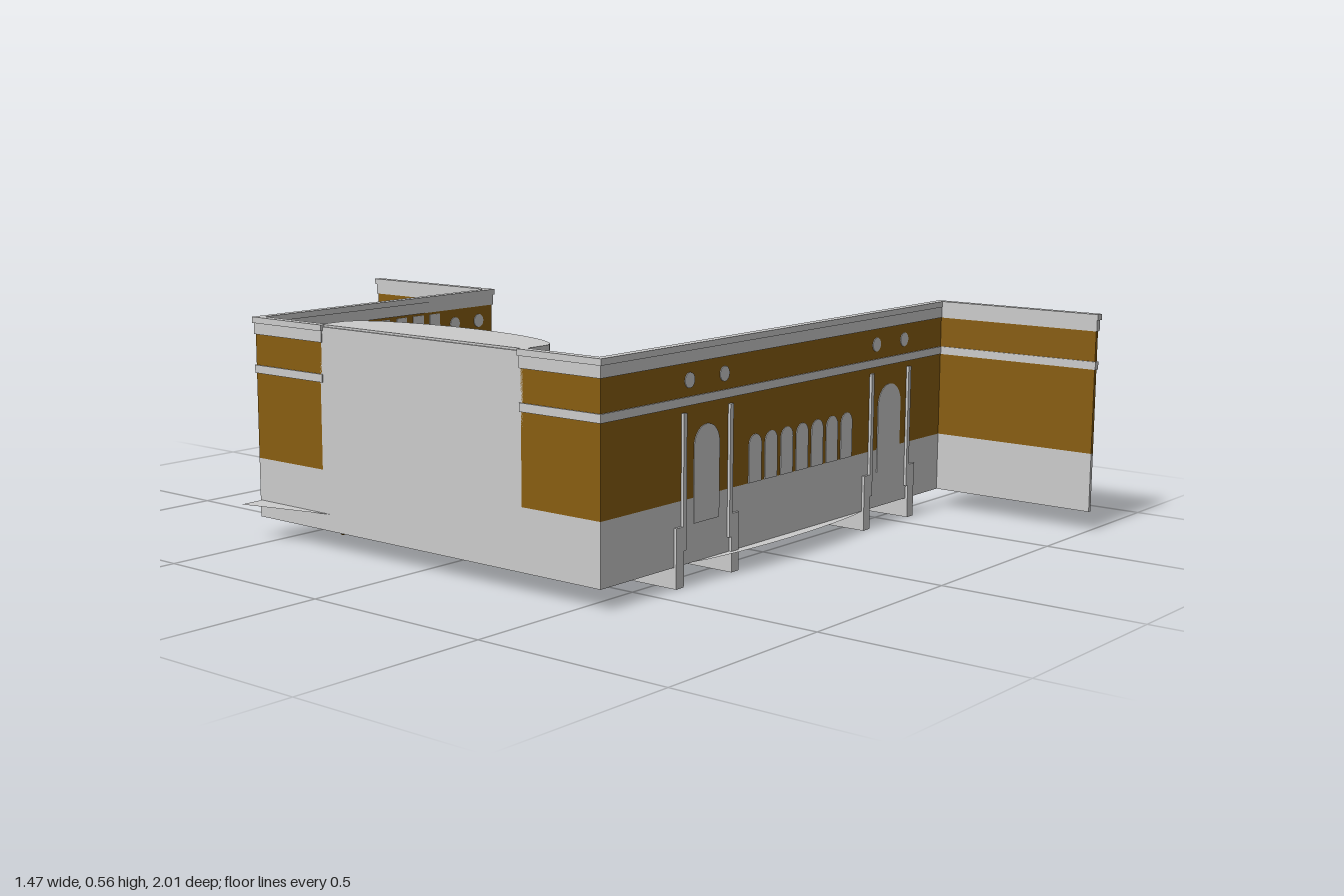
import * as THREE from 'three';

const GREY = new THREE.MeshStandardMaterial({ color: 0xcccccc });
const BROWN = new THREE.MeshStandardMaterial({ color: 0x885d10 });
const SHEET = new THREE.MeshStandardMaterial({ color: 0xcccccc, side: THREE.DoubleSide });

export function createModel() {
  const root = new THREE.Group();
  root.name = 'courtyard';
  const add = (name, geo, mat = GREY, parent = root) => {
    const m = new THREE.Mesh(geo, mat);
    m.name = name;
    parent.add(m);
    return m;
  };
  const group = (name) => {
    const g = new THREE.Group();
    g.name = name;
    root.add(g);
    return g;
  };
  // box given by its limits
  const box = (name, x0, x1, y0, y1, z0, z1, mat, parent) =>
    add(name, new THREE.BoxGeometry(x1 - x0, y1 - y0, z1 - z0)
      .translate((x0 + x1) / 2, (y0 + y1) / 2, (z0 + z1) / 2), mat, parent);
  // plan outline of [x, z] points raised from y0 to y1
  const planShape = (pts) => new THREE.Shape(pts.map(([x, z]) => new THREE.Vector2(x, -z)));
  const plan = (name, pts, y0, y1, mat, parent) =>
    add(name, new THREE.ExtrudeGeometry(planShape(pts), { depth: y1 - y0, bevelEnabled: false })
      .rotateX(-Math.PI / 2).translate(0, y0, 0), mat, parent);

  // banded walls: plinth, masonry, string course, masonry, cornice
  const bands = [
    ['plinth', 0.05, 0.2, 0, GREY], ['lowerMasonry', 0.2, 0.415, 0, BROWN],
    ['stringCourse', 0.415, 0.435, 0.003, GREY], ['upperMasonry', 0.435, 0.512, 0, BROWN],
    ['cornice', 0.512, 0.54, 0.003, GREY], ['coping', 0.54, 0.555, 0.006, GREY],
  ];
  const T = 0.005;
  const wall = (name, x0, x1, z0, z1) => {
    const g = group(name);
    for (const [n, y0, y1, p, mat] of bands) {
      const e = T + p;
      box(n, x0 - e, x1 + e, y0, y1, z0 - e, z1 + e, mat, g);
    }
    return g;
  };
  const FZ = 0.55, BZ = -0.56, LX = -0.67;
  const front = wall('frontWall', LX, 0.72, FZ, FZ);
  wall('frontWing', 0.72, 0.72, FZ, 0.995);
  const back = wall('backWall', LX, 0.156, BZ, BZ);
  wall('backWing', 0.156, 0.156, -0.995, BZ);
  const side = wall('sideWallFront', LX, LX, 0.33, FZ);
  wall('sideWallBack', LX, LX, BZ, -0.33);
  box('bayBacking', LX - T, LX + T, 0.05, 0.55, -0.33, 0.33, GREY);

  // arched and round panels
  const arch = (name, cx, w, y0, y1, z0, depth) => {
    const r = w / 2, s = new THREE.Shape();
    s.moveTo(cx - r, y0);
    s.lineTo(cx + r, y0);
    s.absarc(cx, y1 - r, r, 0, Math.PI, false);
    add(name, new THREE.ExtrudeGeometry(s, { depth, bevelEnabled: false, curveSegments: 12 })
      .translate(0, 0, z0), GREY, front);
  };
  const roundel = (x, z, parent) => add('roundel',
    new THREE.CylinderGeometry(0.018, 0.018, 0.014, 20).rotateX(Math.PI / 2)
      .translate(x, 0.472, z), GREY, parent);

  // two portals with posts, roundels, stepped cheeks and stairs
  for (const [cx, half, w] of [[-0.302, 0.087, 0.095], [0.467, 0.087, 0.105]]) {
    arch('portal', cx, w, 0.14, 0.365, FZ - 0.007, 0.014);
    for (const s of [-1, 1]) {
      const px = cx + s * half;
      box('portalPost', px - 0.006, px + 0.006, 0.085, 0.4, FZ - 0.012, FZ + 0.012, GREY, front);
      roundel(cx + s * 0.065, FZ, front);
      const bx = cx + s * 0.104;
      for (let i = 0; i < 4; i++)
        box('stairCheek', bx - 0.014, bx + 0.014, 0, 0.075 + i * 0.022,
          0.43 + i * 0.03, i === 3 ? 0.562 : 0.46 + i * 0.03, GREY);
    }
    for (let i = 0; i < 4; i++)
      box('stairStep', cx - 0.09, cx + 0.09, 0.05, 0.066 + i * 0.018,
        0.435 + i * 0.028, 0.463 + i * 0.028, GREY);
  }
  for (let i = 0; i < 7; i++) arch('arcadePanel', -0.115 + i * 0.0643, 0.05, 0.2, 0.315, FZ, 0.007);

  // courtyard windows in three rows
  const rows = [[0.21, 0.295], [0.335, 0.408], [0.44, 0.506]];
  const windowsAlongX = (xs, z, parent) => {
    for (const x of xs) for (const [y0, y1] of rows)
      box('window', x - 0.019, x + 0.019, y0, y1, z - 0.002, z + 0.002, GREY, parent);
  };
  const run = (n, start, step) => Array.from({ length: n }, (_, i) => start + i * step);
  windowsAlongX([...run(4, -0.61, 0.06), ...run(8, -0.14, 0.062), 0.61, 0.67], FZ - T, front);
  windowsAlongX(run(10, -0.62, 0.062), BZ + T, back);
  for (const zc of [0.522, 0.437, 0.375]) for (const s of [-1, 1]) for (const [y0, y1] of rows)
    box('window', LX + T - 0.002, LX + T + 0.002, y0, y1, s * zc - 0.022, s * zc + 0.022, GREY, side);

  // quoined doorway of the back wall
  for (const x of [-0.01, 0.13]) for (let i = 0; i < 10; i++)
    box('quoin', x - 0.01, x + 0.01, 0.205 + i * 0.02, 0.216 + i * 0.02, BZ - 0.007, BZ + 0.007, GREY, back);
  for (const x of [0.015, 0.108]) roundel(x, BZ, back);

  // curved bay
  const bay = group('curvedBay');
  const curve = (off, z0, z1, n = 32) => Array.from({ length: n + 1 }, (_, i) => {
    const lim = (z) => Math.asin(Math.max(-1, Math.min(1, z / 0.325)));
    const t = lim(z0) + (lim(z1) - lim(z0)) * i / n;
    return [-0.6 + (0.1 + off) * Math.cos(t), (0.325 + off) * Math.sin(t)];
  });
  for (const [n, y0, y1, p, mat] of bands)
    plan(n, [[LX, -0.325 - p], ...curve(p, -0.325, 0.325), [LX, 0.325 + p]], y0, y1, mat, bay);
  const bayPanel = (name, z0, z1, y0, y1, off = 0.002) =>
    plan(name, [...curve(off, z0, z1, 8), ...curve(-0.004, z0, z1, 8).reverse()], y0, y1, GREY, bay);
  bayPanel('bayDoor', -0.112, 0.112, 0.05, 0.3, 0.005);
  bayPanel('bayDoorLight', -0.112, 0.112, 0.3, 0.512, 0.004);
  for (const s of [-1, 1]) rows.forEach(([y0, y1], r) => {
    const n = r === 2 ? 3 : 2, w = 0.107 / n;
    for (let i = 0; i < n; i++) {
      const a = s * (0.168 + i * w), b = s * (0.168 + (i + 1) * w - 0.004);
      bayPanel('bayWindow', Math.min(a, b), Math.max(a, b), y0, y1);
    }
  });

  // courtyard floor with its bowed front edge
  const bow = run(13, 0, 1 / 12).map((t) => [0.37 - t * 0.74, 0.55 + 0.034 * Math.pow(Math.sin(Math.PI * t), 0.6)]);
  add('courtFloor', new THREE.ShapeGeometry(planShape(
    [[LX, -0.27], [0.57, -0.27], [0.57, 0.55], ...bow, [LX, 0.55]]))
    .rotateX(-Math.PI / 2).translate(0, 0.05, 0), SHEET);
  plan('portalTerrace', [[-0.2, 0.43], [0.37, 0.43], [0.37, 0.55], [-0.2, 0.55]], 0.05, 0.068);
  plan('bayThreshold', [[-0.66, -0.115], [-0.465, -0.115], [-0.435, 0.1], [-0.66, 0.1]], 0.046, 0.054, BROWN);

  // raised rear terrace, dipping towards its open end
  const terrace = new THREE.PlaneGeometry(1, 1, 20, 8);
  const p = terrace.attributes.position;
  for (let i = 0; i < p.count; i++) {
    const u = p.getX(i) + 0.5, v = 0.5 - p.getY(i);
    const x0 = -0.74 + 0.065 * v, x = x0 + (0.62 - x0) * u;
    const dip = THREE.MathUtils.smoothstep(x, 0.3, 0.4) * THREE.MathUtils.smoothstep(v, 0.4, 1);
    p.setXYZ(i, x, 0.092 + 0.01 * u - 0.03 * dip, -0.56 + 0.255 * v);
  }
  terrace.computeVertexNormals();
  add('rearTerrace', terrace, SHEET);
  box('terraceTread', LX, 0.57, 0.067, 0.07, -0.305, -0.272, GREY);
  box('lowerRiser', LX, 0.57, 0.045, 0.068, -0.274, -0.27, BROWN);
  box('upperRiser', LX, 0.33, 0.068, 0.093, -0.309, -0.305, BROWN);
  box('terraceCurb', 0.335, 0.52, 0.06, 0.085, -0.312, -0.3, BROWN);
  for (const x of [0.233, 0.327]) {
    box('terraceStairCheek', x - 0.008, x + 0.008, 0.05, 0.1, -0.3, -0.265, BROWN);
    box('terraceStairCheek', x - 0.008, x + 0.008, 0.05, 0.122, -0.37, -0.3, BROWN);
  }
  box('terraceStep', 0.241, 0.319, 0.07, 0.085, -0.33, -0.29, GREY);

  // curb with brown sides and a grey cap, between two plan points
  const curb = (name, [xa, za], [xb, zb], w, y0, y1) => {
    const g = group(name), len = Math.hypot(xb - xa, zb - za);
    box('curbBody', 0, len, y0, y1 - 0.003, -w / 2, w / 2, BROWN, g);
    box('curbCap', 0, len, y1 - 0.003, y1, -w / 2, w / 2, GREY, g);
    g.position.set(xa, 0, za);
    g.rotation.y = -Math.atan2(zb - za, xb - xa);
  };
  const mix = (a, b, t) => [a[0] + (b[0] - a[0]) * t, a[1] + (b[1] - a[1]) * t];

  // skewed planter with openings on two sides
  const c = [[-0.09, 0.175], [0.2, 0.108], [0.268, 0.43], [-0.038, 0.43]];
  curb('planterBack', c[0], c[1], 0.022, 0.02, 0.066);
  curb('planterFront', c[2], c[3], 0.018, 0.02, 0.066);
  for (const [a, b, t0, t1] of [[c[1], c[2], 0.4, 0.52], [c[0], c[3], 0.5, 0.7]]) {
    curb('planterSide', a, mix(a, b, t0), 0.022, 0.02, 0.066);
    curb('planterSide', mix(a, b, t1), b, 0.022, 0.02, 0.066);
  }
  // row of short curbs
  for (let i = 0; i < 7; i++)
    curb('shortCurb', mix([-0.16, 0.095], [0.25, 0.003], i / 7),
      mix([-0.16, 0.095], [0.25, 0.003], (i + 0.82) / 7), 0.014, 0.048, 0.064);

  return root;
}
